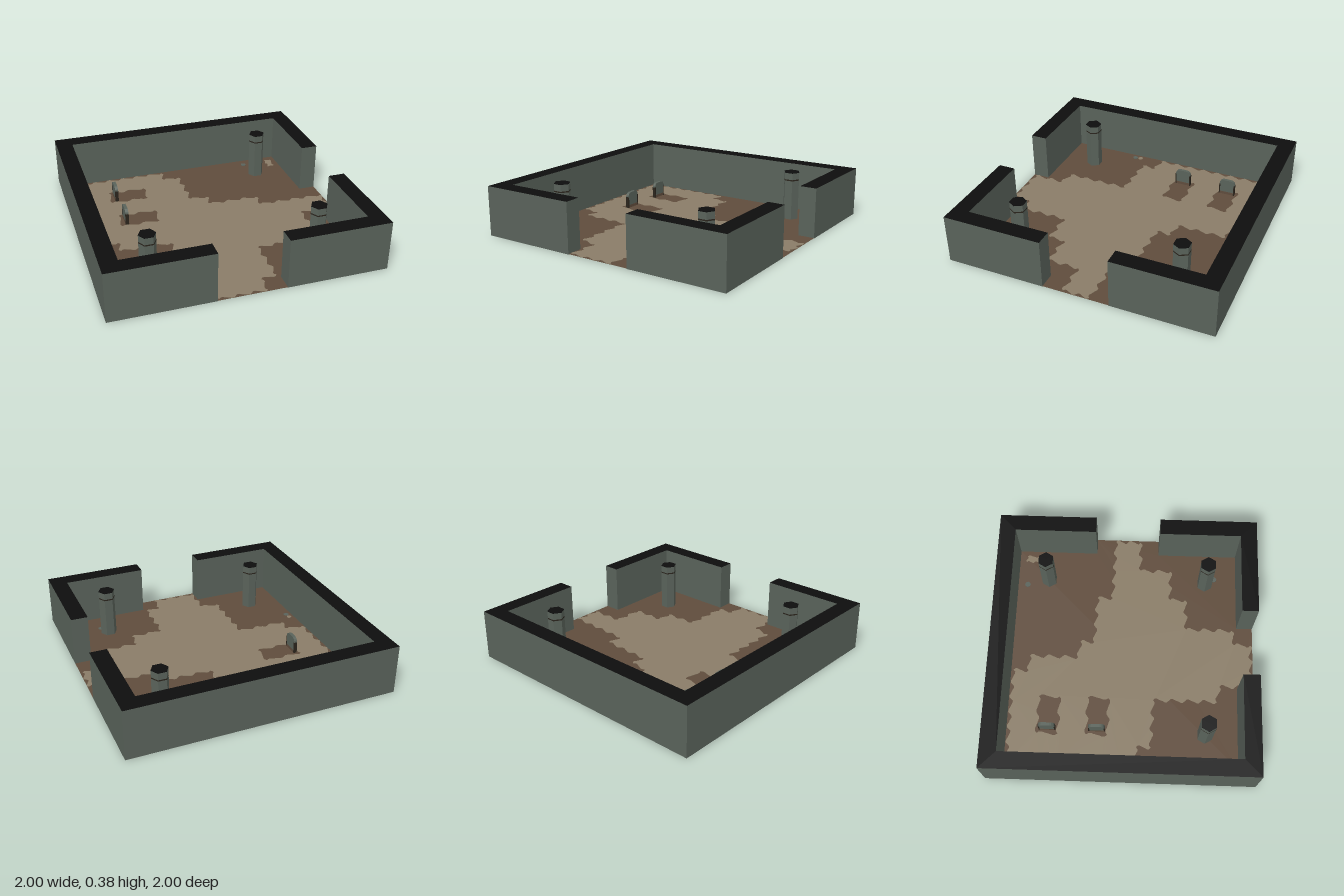
import * as THREE from 'three';

const mat = (name, color, side = THREE.DoubleSide) => {
  const m = new THREE.MeshStandardMaterial({ color, side });
  m.name = name;
  return m;
};

export function createModel() {
  const model = new THREE.Group();
  const stone = mat('stone', 0x59625a);
  const black = mat('wallTopBlack', 0x0d0d0d);
  const dirt = mat('dirt', 0x5f4c3c);
  const path = mat('paleEarth', 0x897c67);
  const trim = mat('darkTrim', 0x2a241c);
  const pebble = mat('pebbleGrey', 0x5a635c);
  const H = 0.375, I = 0.875, D = 0.25;

  const add = (geometry, material, name, x = 0, y = 0, z = 0, parent = model) => {
    const m = new THREE.Mesh(geometry, material);
    m.name = name;
    m.position.set(x, y, z);
    parent.add(m);
    return m;
  };
  // Outlines are given as [x, z] pairs and laid flat, facing up
  const outline = pts => pts.map(([x, z]) => new THREE.Vector2(x, -z));
  const flat = (pts, holes = []) => {
    const s = new THREE.Shape(outline(pts));
    holes.forEach(h => s.holes.push(new THREE.Path(outline(h))));
    return s;
  };
  const sheet = pts => new THREE.ShapeGeometry(flat(pts)).rotateX(-Math.PI / 2);
  const plate = (pts, holes) =>
    new THREE.ExtrudeGeometry(flat(pts, holes), { depth: 0.004, bevelEnabled: false }).rotateX(-Math.PI / 2);

  // Vertical wall faces around an outline, open underneath
  const sides = pts => {
    const v = [];
    pts.forEach(([ax, az], i) => {
      const [bx, bz] = pts[(i + 1) % pts.length];
      v.push(bx, 0, bz, ax, 0, az, ax, H, az, bx, 0, bz, ax, H, az, bx, H, bz);
    });
    const g = new THREE.BufferGeometry();
    g.setAttribute('position', new THREE.Float32BufferAttribute(v, 3));
    g.computeVertexNormals();
    return g;
  };

  // Ragged edge: a whole number of waves along every straight run
  const ragged = (pts, amp = 0.014, period = 0.125) => {
    const out = [];
    pts.forEach(([ax, az], i) => {
      const [bx, bz] = pts[(i + 1) % pts.length];
      const dx = bx - ax, dz = bz - az, len = Math.hypot(dx, dz);
      const waves = Math.max(1, Math.round(len / period)), n = waves * 8;
      for (let k = 0; k < n; k++) {
        const t = k / n, a = t * waves * Math.PI * 2;
        const w = amp * (Math.sin(a) + 0.3 * Math.sin(2 * a));
        out.push([ax + dx * t + dz / len * w, az + dz * t - dx / len * w]);
      }
    });
    return out;
  };

  // Walls with two gateways, front and left
  const walls = {
    mainWall: [[-D, 1], [-1, 1], [-1, -1], [1, -1], [1, -D], [I, -D], [I, -I], [-I, -I], [-I, I], [-D, I]],
    cornerWall: [[1, D], [1, 1], [D, 1], [D, I], [I, I], [I, D]],
  };
  for (const [name, pts] of Object.entries(walls)) {
    add(sides(pts), stone, name);
    add(sheet(pts), black, name + 'Top', 0, H, 0);
  }

  // Dirt floor reaching out through the gateways
  add(sheet([[-I, -I], [I, -I], [I, -D], [1, -D], [1, D], [I, D], [I, I], [D, I], [D, 1], [-D, 1], [-D, I], [-I, I]]),
    dirt, 'dirtFloor', 0, 0.003, 0);

  // Pale earth, with two bare grave plots left open
  const grave = z => ragged([[-0.645, z - 0.08], [-0.355, z - 0.08], [-0.355, z + 0.08], [-0.645, z + 0.08]], 0.012, 0.13);
  const earth = ragged([
    [-0.857, -0.857], [-0.15, -0.857], [-0.15, -0.74], [-0.03, -0.74], [-0.03, -0.36], [0.1, -0.35], [0.1, -0.24],
    [0.48, -0.23], [0.48, -0.11], [0.985, -0.1], [0.985, 0.1], [0.73, 0.11], [0.73, 0.35], [0.48, 0.35], [0.48, 0.47],
    [0.23, 0.48], [0.23, 0.84], [0.11, 0.86], [0.11, 0.985], [-0.235, 0.985], [-0.235, 0.74], [-0.36, 0.72],
    [-0.36, 0.23], [-0.73, 0.22], [-0.73, 0.11], [-0.857, 0.1],
  ]);
  add(plate(earth, [grave(-0.565), grave(-0.19)]), path, 'earthPath', 0, 0.001, 0);

  // Loose patches and pebbles on the ground
  add(plate(ragged([[0.78, -0.82], [0.83, -0.82], [0.83, -0.72], [0.78, -0.7]], 0.008, 0.07)), path, 'earthPatch', 0, 0.001, 0);
  const spot = (x, z, r, m) => add(new THREE.CylinderGeometry(r, r, 0.005, 8), m, 'groundSpot', x, 0.0035, z);
  spot(0.58, -0.8, 0.023, pebble);
  spot(0.67, 0.7, 0.023, pebble);
  spot(-0.83, 0.33, 0.022, pebble);
  spot(-0.835, 0.285, 0.02, path);

  // Six-sided pillars with a dark top and a thin dark band
  for (const [x, z] of [[0.625, -0.625], [-0.625, 0.625], [0.625, 0.625]]) {
    const pillar = new THREE.Group();
    pillar.name = 'pillar';
    pillar.position.set(x, 0, z);
    model.add(pillar);
    const hex = (r, h, open, m, name, y) => {
      const g = new THREE.CylinderGeometry(r, r, h, 6, 1, open).rotateY(Math.PI / 6).toNonIndexed();
      g.computeVertexNormals();
      add(g, m, name, 0, y, 0, pillar);
    };
    hex(0.0625, H - 0.004, true, stone, 'pillarShaft', (H - 0.004) / 2);
    hex(0.0625, 0.004, false, black, 'pillarTop', H - 0.002);
    hex(0.063, 0.01, true, trim, 'pillarBand', 0.315);
  }

  // Round-headed gravestones with dark lower edges
  const profile = new THREE.Shape();
  profile.moveTo(-0.063, 0);
  profile.lineTo(0.063, 0);
  profile.lineTo(0.063, 0.09);
  profile.quadraticCurveTo(0.06, 0.13, 0.025, 0.13);
  profile.lineTo(-0.025, 0.13);
  profile.quadraticCurveTo(-0.06, 0.13, -0.063, 0.09);
  const slab = new THREE.ExtrudeGeometry(profile, { depth: 0.024, bevelEnabled: false, curveSegments: 4 });
  slab.translate(0, 0, -0.012).rotateY(Math.PI / 2);
  for (const z of [-0.565, -0.19]) {
    const grp = new THREE.Group();
    grp.name = 'gravestone';
    grp.position.set(-0.605, 0, z);
    model.add(grp);
    add(slab, stone, 'gravestoneSlab', 0, 0, 0, grp);
    for (const s of [-1, 1])
      add(new THREE.BoxGeometry(0.026, 0.09, 0.009), trim, 'gravestoneEdge', 0, 0.048, s * 0.059, grp);
    add(new THREE.BoxGeometry(0.026, 0.022, 0.11), dirt, 'gravestoneFoot', 0, 0.014, 0, grp);
  }
  return model;
}
